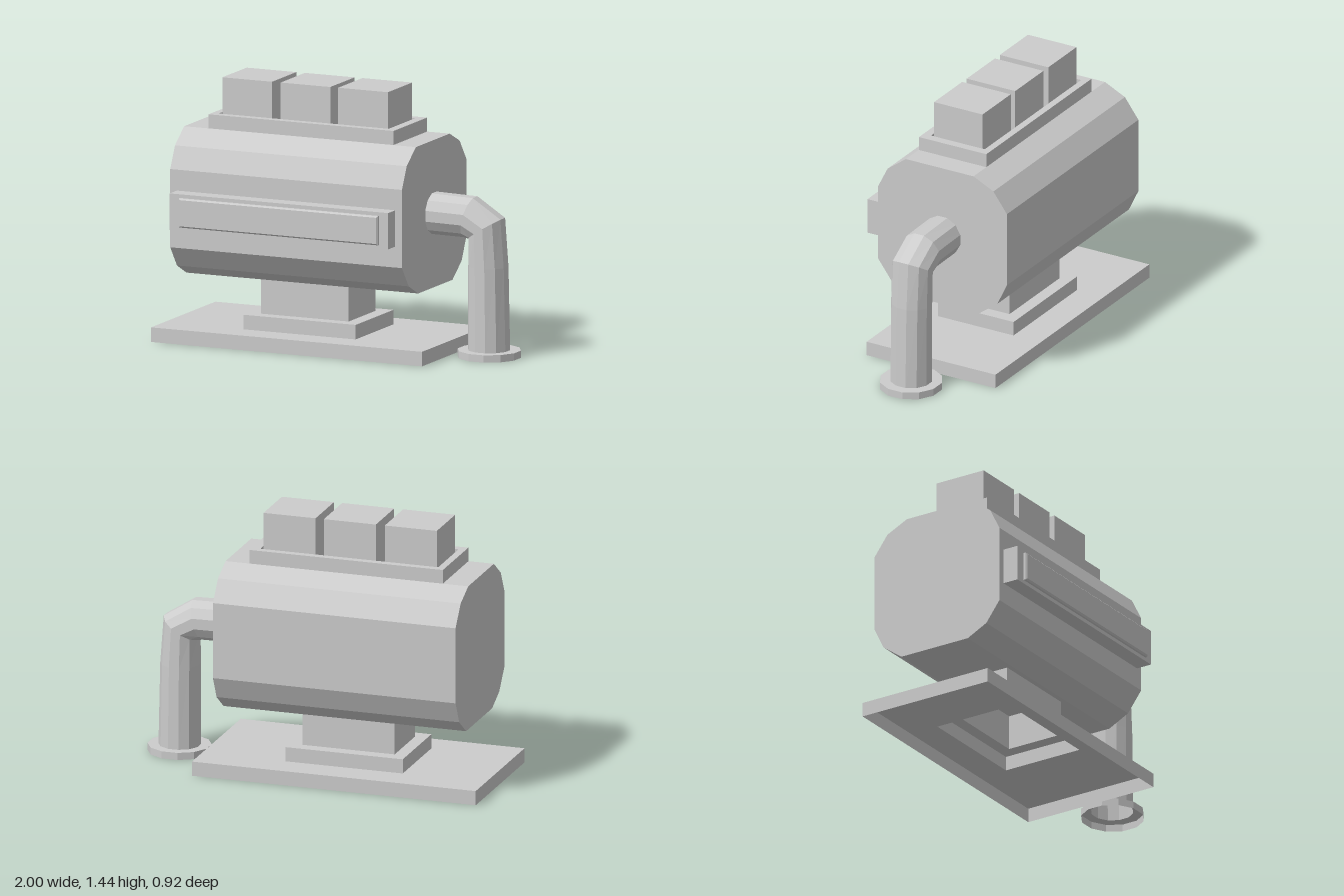
import * as THREE from 'three';

const SIDES = 12;
const material = new THREE.MeshStandardMaterial({ color: 0xcccccc, flatShading: true, side: THREE.DoubleSide });

function add(group, name, geometry) {
  const mesh = new THREE.Mesh(geometry, material);
  mesh.name = name;
  group.add(mesh);
  return mesh;
}

// Box given by its limits on each axis
function box(x0, x1, y0, y1, z0, z1) {
  return new THREE.BoxGeometry(x1 - x0, y1 - y0, z1 - z0)
    .translate((x0 + x1) / 2, (y0 + y1) / 2, (z0 + z1) / 2);
}

function polygon(points) {
  return new THREE.Shape(points.map(([x, y]) => new THREE.Vector2(x, y)));
}

function rectangle(x0, x1, y0, y1) {
  return polygon([[x0, y0], [x1, y0], [x1, y1], [x0, y1]]);
}

// Open shell joining closed rings of equal point count
function loft(rings) {
  const n = rings[0].length;
  const index = [];
  for (let i = 0; i < rings.length - 1; i++) {
    for (let j = 0; j < n; j++) {
      const a = i * n + j, b = i * n + (j + 1) % n;
      index.push(a, b, b + n, a, b + n, a + n);
    }
  }
  const geometry = new THREE.BufferGeometry().setFromPoints(rings.flat());
  geometry.setIndex(index);
  const flat = geometry.toNonIndexed();
  flat.computeVertexNormals();
  return flat;
}

// Horizontal rectangular ring
function rectRing(y, x0, x1, z0, z1) {
  return [[x0, z1], [x1, z1], [x1, z0], [x0, z0]].map(([x, z]) => new THREE.Vector3(x, y, z));
}

// Round ring given by its outer and inner points in the plane of the bend
function pipeRing([ox, oy], [ix, iy], radius) {
  const grow = 1 / Math.cos(Math.PI / SIDES);
  return Array.from({ length: SIDES }, (_, j) => {
    const a = (j + 0.5) / SIDES * Math.PI * 2;
    const c = Math.cos(a) * grow / 2;
    return new THREE.Vector3(
      (ox + ix) / 2 + (ox - ix) * c,
      (oy + iy) / 2 + (oy - iy) * c,
      -0.055 + radius * Math.sin(a) * grow
    );
  });
}

export function createModel() {
  const model = new THREE.Group();
  model.name = 'machine';

  // Stepped stand, hollow and open underneath
  const base = [-1, 0.62, -0.46, 0.35];
  const step = [-0.525, 0.145, -0.29, 0.185];
  const column = [-0.455, 0.07, -0.22, 0.115];
  add(model, 'stand', loft([
    rectRing(0, ...base), rectRing(0.08, ...base),
    rectRing(0.08, ...step), rectRing(0.16, ...step),
    rectRing(0.16, ...column), rectRing(0.36, ...column)
  ]));

  // Faceted drum body, its end profile as [z, y] run along x
  const profile = [
    [0.175, 1.165], [-0.25, 1.165], [-0.375, 1.105], [-0.46, 0.99],
    [-0.46, 0.565], [-0.4, 0.44], [-0.285, 0.355], [0.145, 0.355],
    [0.265, 0.415], [0.35, 0.53], [0.35, 0.96], [0.29, 1.08]
  ];
  const body = new THREE.ExtrudeGeometry(polygon(profile.map(([z, y]) => [-z, y])),
    { depth: 1.385, bevelEnabled: false });
  add(model, 'body', body.rotateY(Math.PI / 2).translate(-0.885, 0, 0));

  // Tray on top, recessed around the blocks
  const tray = rectangle(-0.74, 0.365, -0.173, 0.25);
  tray.holes.push(rectangle(-0.7, 0.315, -0.127, 0.21));
  const trayGeometry = new THREE.ExtrudeGeometry(tray, { depth: 0.077, bevelEnabled: false });
  add(model, 'topTray', trayGeometry.rotateX(-Math.PI / 2).translate(0, 1.165, 0));

  // Row of three blocks
  for (const x of [-0.685, -0.337, 0.007]) {
    add(model, 'topBlock', box(x, x + 0.297, 1.165, 1.44, -0.19, 0.115));
  }

  // Front panel with a bevelled raised plate
  add(model, 'frontPanel', box(-0.845, 0.46, 0.645, 0.845, 0.34, 0.44));
  const plate = new THREE.ExtrudeGeometry(rectangle(-0.777, 0.397, 0.673, 0.817),
    { depth: 0.012, bevelThickness: 0.008, bevelSize: 0.008, bevelSegments: 1 });
  add(model, 'frontPlate', plate.translate(0, 0, 0.44));

  // Bent outlet pipe running down into an open flange
  const r = 0.112;
  add(model, 'outletPipe', loft([
    pipeRing([0.49, 0.876], [0.49, 0.653], r),
    pipeRing([0.745, 0.87], [0.69, 0.651], r),
    pipeRing([0.91, 0.765], [0.72, 0.645], r),
    pipeRing([0.93, 0.5], [0.718, 0.5], r),
    pipeRing([0.94, 0.04], [0.717, 0.04], r)
  ]));
  add(model, 'pipeFlange', loft([
    pipeRing([0.94, 0.04], [0.717, 0.04], r),
    pipeRing([0.998, 0.04], [0.662, 0.04], 0.166),
    pipeRing([0.998, 0], [0.662, 0], 0.166)
  ]));

  return model;
}
